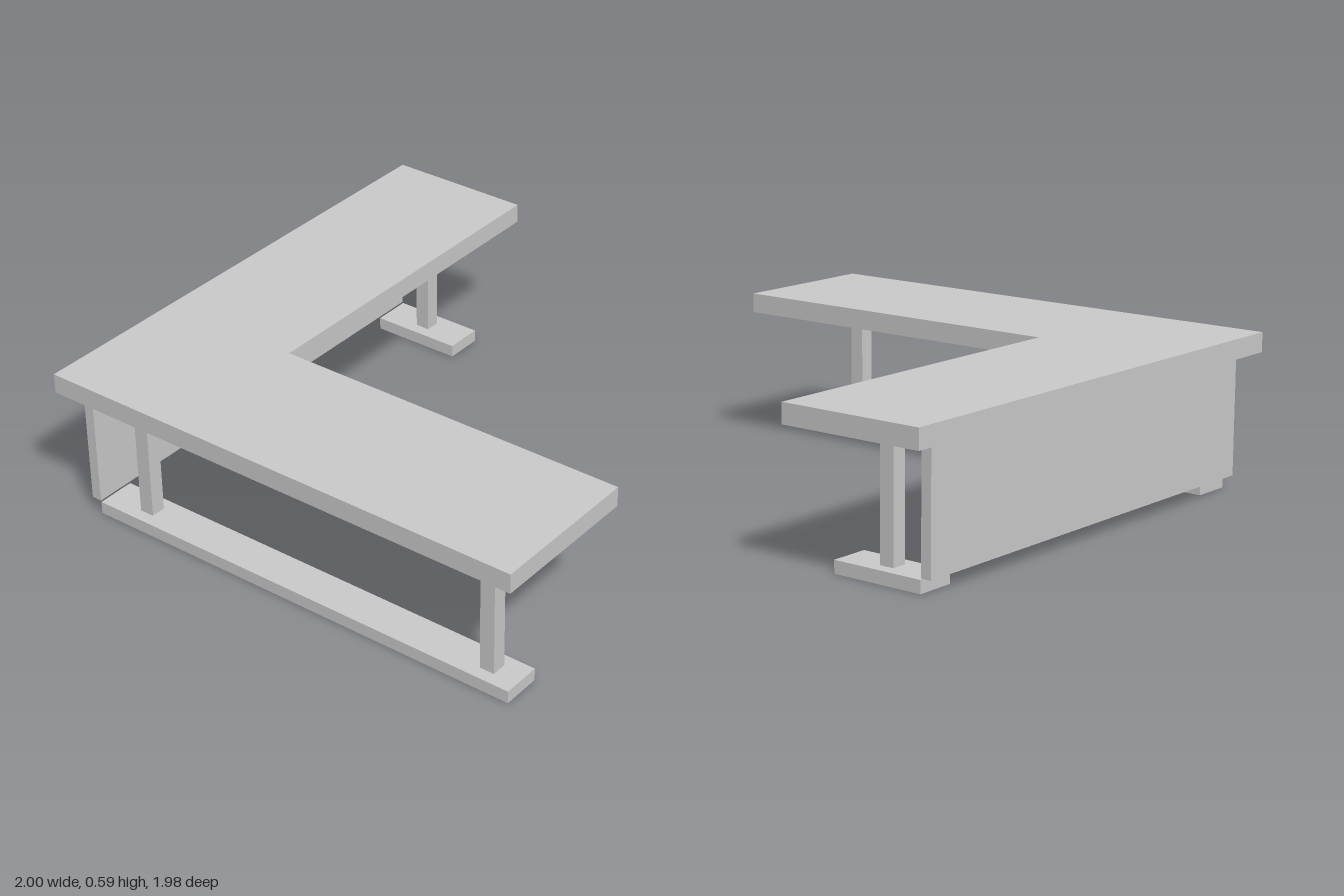
import * as THREE from 'three';

export function createModel() {
  const group = new THREE.Group();
  const material = new THREE.MeshStandardMaterial({ color: 0xcccccc, flatShading: true });

  const add = (name, geometry) => {
    const mesh = new THREE.Mesh(geometry, material);
    mesh.name = name;
    group.add(mesh);
    return mesh;
  };

  // Box given by its extents on each axis
  const box = (name, [x0, x1], [y0, y1], [z0, z1]) =>
    add(name, new THREE.BoxGeometry(x1 - x0, y1 - y0, z1 - z0))
      .position.set((x0 + x1) / 2, (y0 + y1) / 2, (z0 + z1) / 2);

  // L-shaped desktop, outlined in plan as (x, -z) and extruded upward
  const outline = [[-1, -0.985], [-0.395, -0.985], [-0.395, 0.42], [1, 0.42], [1, 0.99], [-1, 0.99]];
  const top = new THREE.ExtrudeGeometry(
    new THREE.Shape(outline.map(([x, y]) => new THREE.Vector2(x, y))),
    { depth: 0.075, bevelEnabled: false }
  );
  top.rotateX(-Math.PI / 2).translate(0, 0.515, 0);
  add('desktop', top);

  // Leg frames: floor runner, rail under the top, and square posts between them
  const frames = [
    { side: 'right', x: -0.85, runnerEnd: 0.93, railEnd: 0.91, posts: [-0.705, 0.81] },
    { side: 'left', x: 0.783, runnerEnd: -0.52, railEnd: -0.525, posts: [-0.705] },
  ];
  for (const { side, x, runnerEnd, railEnd, posts } of frames) {
    const width = [x - 0.076, x + 0.076];
    box(side + 'Runner', width, [0, 0.048], [-0.885, runnerEnd]);
    box(side + 'Rail', width, [0.495, 0.515], [-0.88, railEnd]);
    for (const z of posts) {
      box(side + 'Post', [x - 0.029, x + 0.029], [0.048, 0.495], [z - 0.029, z + 0.029]);
    }
  }

  // Modesty panel across the back
  box('backPanel', [-0.926, 0.859], [0.053, 0.515], [-0.927, -0.887]);

  return group;
}
